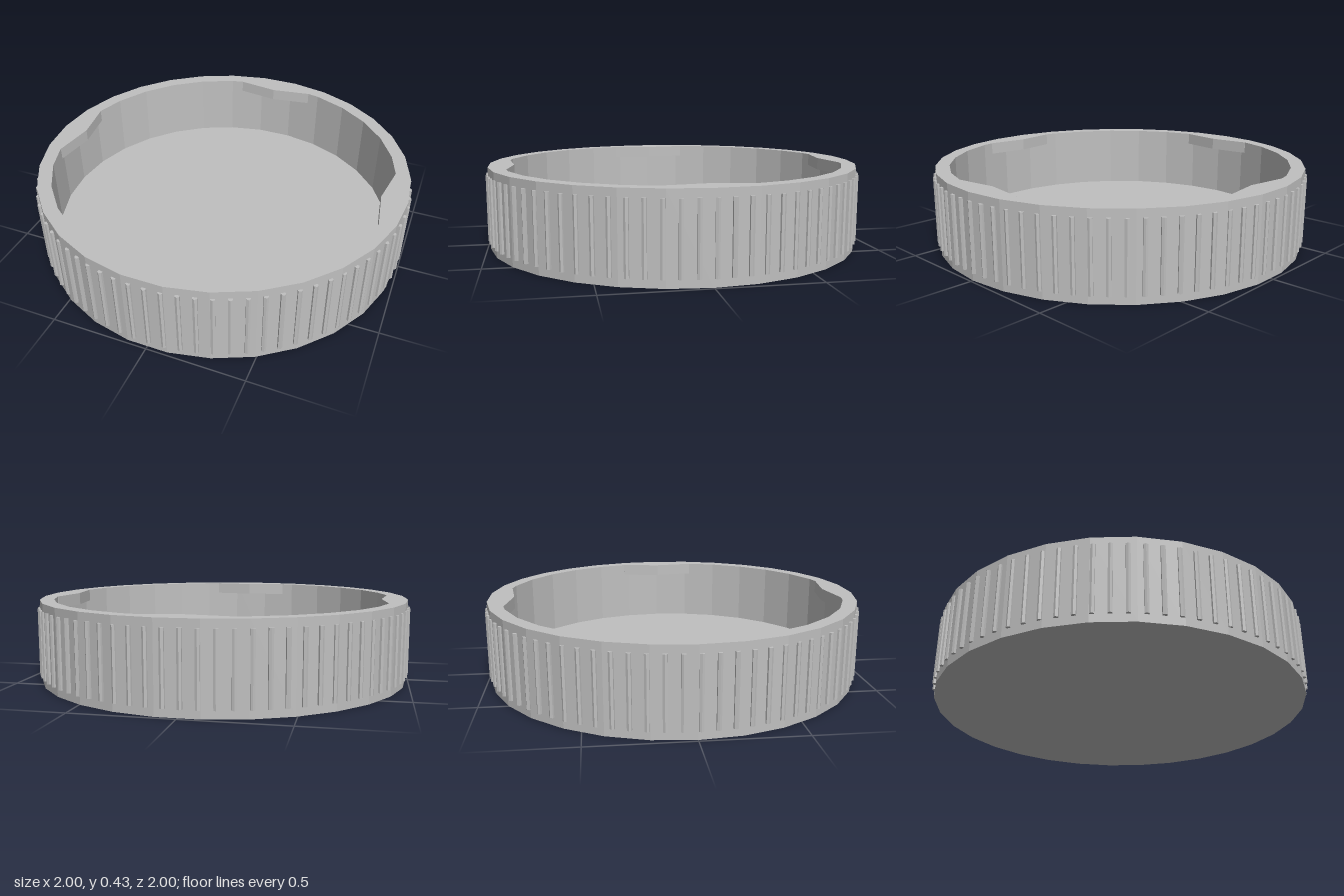
import * as THREE from 'three';

const HEIGHT = 0.43, FLOOR = 0.08, SIDES = 30;
const OUTER = 0.988, INNER = 0.915;
const RIBS = 80;

// Regular polygon points with a corner on the x axis
function ringPoints(radius) {
  return Array.from({ length: SIDES }, (_, i) => {
    const a = (i / SIDES) * Math.PI * 2;
    return new THREE.Vector2(radius * Math.cos(a), radius * Math.sin(a));
  });
}

// Extrude a plan outline upwards between two heights
function slab(shape, y0, y1) {
  const geometry = new THREE.ExtrudeGeometry(shape, { depth: y1 - y0, bevelEnabled: false });
  geometry.rotateX(-Math.PI / 2);
  geometry.translate(0, y0, 0);
  return geometry;
}

export function createModel() {
  const cap = new THREE.Group();
  cap.name = 'ribbedCap';
  const grey = new THREE.MeshStandardMaterial({ color: 0xc0c0c0 });
  grey.name = 'light grey plastic';

  const add = (name, geometry) => {
    const mesh = new THREE.Mesh(geometry, grey);
    mesh.name = name;
    cap.add(mesh);
    return mesh;
  };

  // Wall: faceted ring over the full height
  const wall = new THREE.Shape(ringPoints(OUTER));
  wall.holes.push(new THREE.Path(ringPoints(INNER)));
  add('wall', slab(wall, 0, HEIGHT));

  // Floor closing the bottom
  add('floor', slab(new THREE.Shape(ringPoints(INNER)), 0, FLOOR));

  // Four shallow snap tabs below the inner rim, rooted in the wall
  const tab = new THREE.Shape([
    [0.852, 0], [0.884, -0.22], [0.94, -0.22], [0.94, 0.22], [0.884, 0.22],
  ].map(([x, y]) => new THREE.Vector2(x, y)));
  const tabGeometry = slab(tab, HEIGHT - 0.065, HEIGHT);
  for (let i = 0; i < 4; i++) {
    add('snapTab' + (i + 1), tabGeometry).rotation.y = (i * Math.PI) / 2;
  }

  // Grip ribs: slim six-sided rods around the outside
  const ribGeometry = new THREE.CylinderGeometry(0.0125, 0.0125, 0.35, 6).toNonIndexed();
  ribGeometry.computeVertexNormals();
  ribGeometry.rotateY(Math.PI / 2);
  ribGeometry.translate(0.987, 0.215, 0);
  const ribs = new THREE.Group();
  ribs.name = 'gripRibs';
  for (let i = 0; i < RIBS; i++) {
    const rib = new THREE.Mesh(ribGeometry, grey);
    rib.name = 'gripRib';
    rib.rotation.y = (i / RIBS) * Math.PI * 2 + 0.013;
    ribs.add(rib);
  }
  cap.add(ribs);

  return cap;
}
